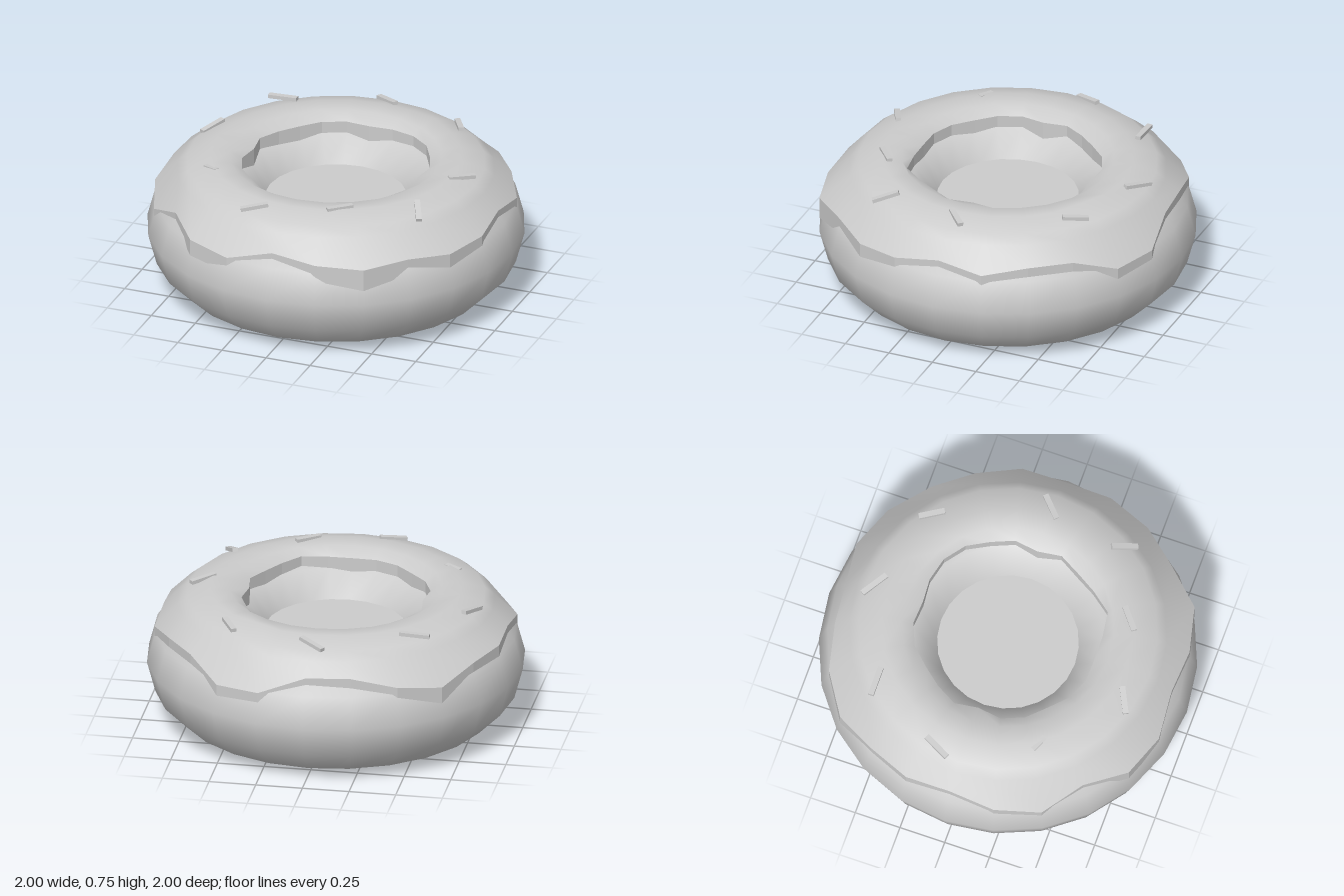
import * as THREE from 'three';

const SEG = 24, RING = 0.665, TUBE = 0.335;
const grey = () => new THREE.MeshStandardMaterial({ color: 0xcccccc, side: THREE.DoubleSide });

// Icing edges every 15 degrees, from the front (+z) round towards +x
const OUTER_R = [.915, .96, 1, .955, .97, .96, .92, .96, .935, .935, .975, .97,
  .905, .915, .96, .98, .95, .95, .92, .96, .97, .92, .98, .965];
const OUTER_Y = [.575, .55, .54, .55, .525, .54, .575, .54, .575, .575, .49, .5,
  .59, .595, .54, .5, .56, .57, .58, .54, .49, .575, .535, .51];
const INNER_R = [.485, .5, .535, .5, .485, .5, .465, .5, .5, .52, .52, .5,
  .475, .5, .5, .48, .485, .5, .465, .5, .5, .485, .5, .5];

// Closed band swept round the y axis; section(i) lists [radius, y] points
function band(section) {
  const pos = [], index = [];
  const n = section(0).length;
  for (let i = 0; i < SEG; i++) {
    const a = (i / SEG) * Math.PI * 2;
    for (const [r, y] of section(i)) pos.push(Math.sin(a) * r, y, Math.cos(a) * r);
    const next = (i + 1) % SEG;
    for (let j = 0; j < n - 1; j++) {
      const p = i * n + j, q = next * n + j;
      index.push(p, q, p + 1, q, q + 1, p + 1);
    }
  }
  const geo = new THREE.BufferGeometry();
  geo.setAttribute('position', new THREE.Float32BufferAttribute(pos, 3));
  geo.setIndex(index);
  geo.computeVertexNormals();
  return geo;
}

function flat(geo) {
  const g = geo.toNonIndexed();
  g.computeVertexNormals();
  return g;
}

export function createModel() {
  const model = new THREE.Group();
  model.name = 'donut';
  const add = (name, geo, parent = model) => {
    const mesh = new THREE.Mesh(geo, grey());
    mesh.name = name;
    parent.add(mesh);
    return mesh;
  };

  // Dough ring
  const dough = new THREE.TorusGeometry(RING, TUBE, 12, SEG);
  dough.rotateX(-Math.PI / 2);
  dough.translate(0, TUBE, 0);
  add('dough', dough);

  // Thin disc closing the hole
  const disc = new THREE.CircleGeometry(0.376, SEG);
  disc.rotateX(-Math.PI / 2);
  disc.translate(0, 0.5, 0);
  add('holeDisc', disc);

  // Icing: smooth top, and faceted walls down into the dough
  const icing = new THREE.Group();
  icing.name = 'icing';
  model.add(icing);
  add('icingTop', band((i) => {
    const bump = i === 10 ? 0.012 : 0; // small lump at the back
    return [
      [OUTER_R[i], OUTER_Y[i]],
      [0.84, 0.66],
      [0.79, 0.7],
      [0.665, 0.738 + bump],
      [0.56, 0.73],
      [INNER_R[i], 0.69],
    ];
  }), icing);
  add('icingOuterEdge', flat(band((i) => [
    [OUTER_R[i] - 0.08, OUTER_Y[i] - 0.1],
    [OUTER_R[i], OUTER_Y[i] - (i === 2 ? 0.12 : 0.09)],
    [OUTER_R[i], OUTER_Y[i]],
  ])), icing);
  add('icingInnerEdge', flat(band((i) => [
    [INNER_R[i], 0.69],
    [INNER_R[i], 0.59],
  ])), icing);

  // Sprinkles lying on the icing, each between two end points
  const sprinkles = new THREE.Group();
  sprinkles.name = 'sprinkles';
  model.add(sprinkles);
  const ends = [
    [-.07, .71, -.79, .06, .733, -.7],
    [-.6, .728, -.555, -.44, .735, -.555],
    [.43, .725, -.65, .5, .737, -.53],
    [-.785, .703, -.065, -.72, .725, -.2],
    [.655, .737, .04, .765, .725, -.06],
    [.605, .742, .365, .665, .695, .49],
    [.2, .739, .635, .31, .742, .545],
    [-.245, .712, .745, -.115, .735, .68],
    [-.6, .722, .35, -.52, .73, .39],
  ];
  for (const [x1, y1, z1, x2, y2, z2] of ends) {
    const a = new THREE.Vector3(x1, y1, z1), b = new THREE.Vector3(x2, y2, z2);
    const s = add('sprinkle', new THREE.BoxGeometry(0.03, 0.02, a.distanceTo(b)), sprinkles);
    s.position.copy(a).lerp(b, 0.5);
    s.lookAt(b);
  }
  return model;
}
